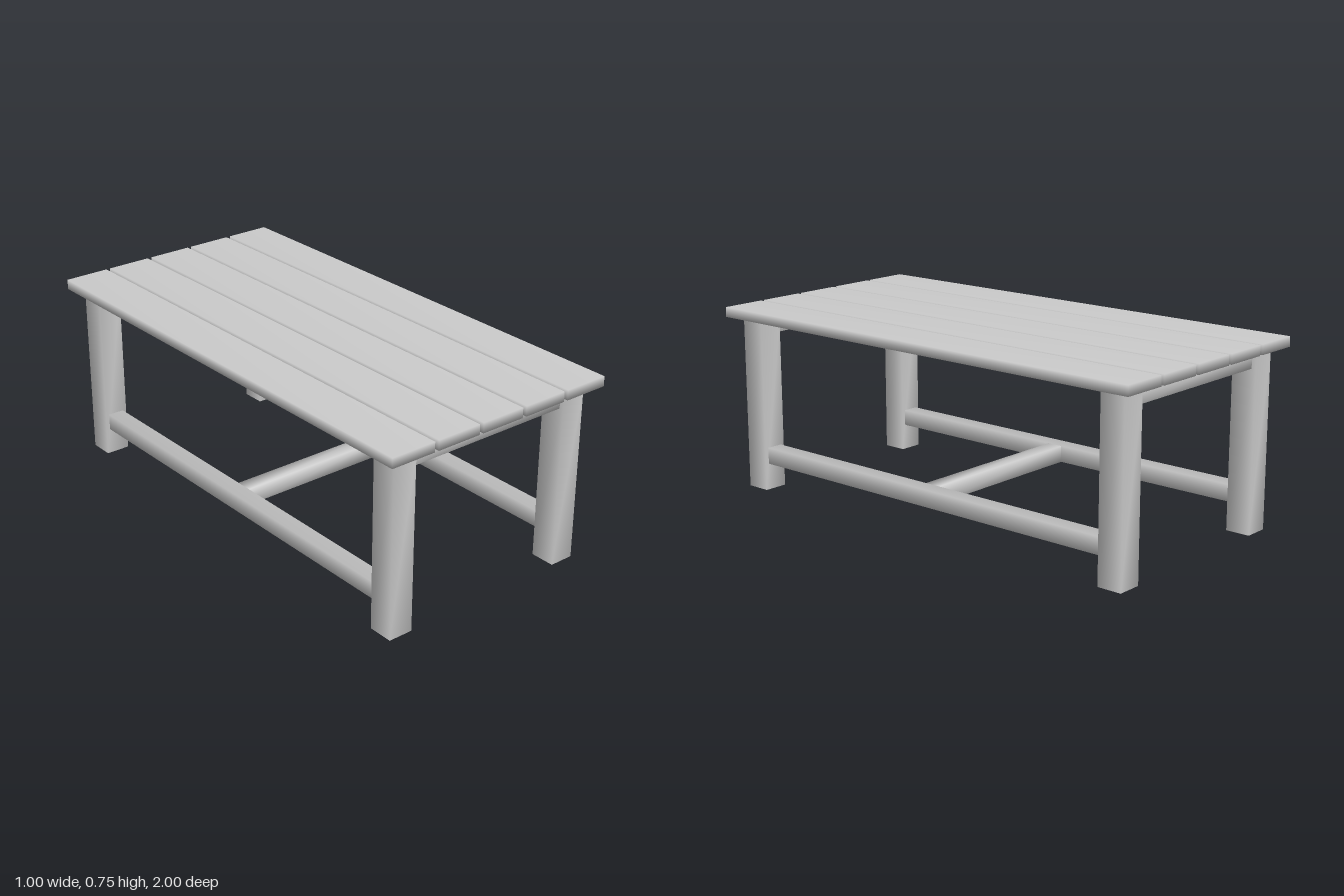
import * as THREE from 'three';
import { mergeVertices } from 'three/addons/utils/BufferGeometryUtils.js';

const material = new THREE.MeshStandardMaterial({ color: 0xcccccc });

// Box with shared corners, so its normals are smoothed across the edges
function beam(name, size, position) {
  let geometry = new THREE.BoxGeometry(...size);
  geometry.deleteAttribute('normal');
  geometry.deleteAttribute('uv');
  geometry = mergeVertices(geometry);
  geometry.computeVertexNormals();
  const mesh = new THREE.Mesh(geometry, material);
  mesh.name = name;
  mesh.position.set(...position);
  return mesh;
}

export function createModel() {
  const table = new THREE.Group();
  table.name = 'slattedTable';

  const topY = 0.748, thick = 0.04, under = topY - thick;
  const legX = 0.4, legZ = 0.9, leg = 0.1, rail = 0.067;
  const railY = 0.142;

  // Five tabletop planks with narrow gaps
  const plankWidth = 0.186, pitch = (1 - plankWidth) / 4;
  for (let i = 0; i < 5; i++) {
    table.add(beam('plank' + (i + 1), [plankWidth, thick, 2],
      [(i - 2) * pitch, under + thick / 2, 0]));
  }

  for (const [side, sx] of [['Left', 1], ['Right', -1]]) {
    // Legs
    for (const [end, sz] of [['front', 1], ['back', -1]]) {
      table.add(beam(end + side + 'Leg', [leg, under, leg], [sx * legX, under / 2, sz * legZ]));
    }
    // Long lower stretchers between front and back legs
    table.add(beam('stretcher' + side, [rail, rail, 2 * legZ - leg], [sx * legX, railY, 0]));
  }

  // Short rails under the top at each end
  for (const [end, sz] of [['front', 1], ['back', -1]]) {
    table.add(beam(end + 'TopRail', [2 * legX - leg, rail, rail],
      [0, under - rail / 2, sz * legZ]));
  }

  // Middle crossbar joining the stretchers
  table.add(beam('crossbar', [2 * legX - rail, rail, rail], [0, railY, 0]));

  return table;
}
